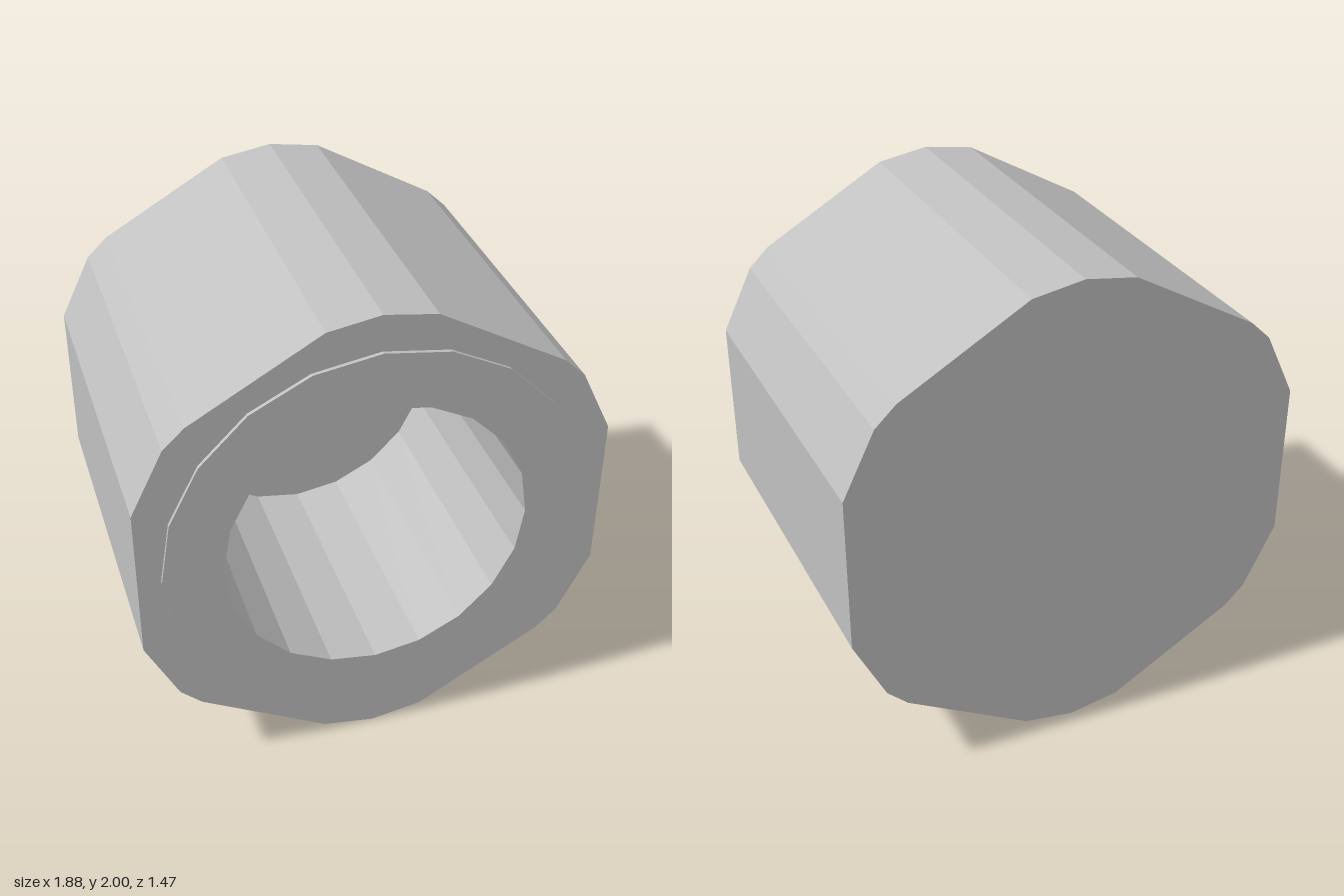
import * as THREE from 'three';

const BACK = -0.735, FLOOR = -0.38, SHOULDER = 0.72, FRONT = 0.735;

// Regular 20-sided outline, anticlockwise
const ring = (r) => Array.from({ length: 20 }, (_, i) => {
  const a = (i / 20) * Math.PI * 2;
  return new THREE.Vector2(Math.cos(a) * r, Math.sin(a) * r);
});

// Hexagon with double-chamfered corners, mirrored from one quadrant
function hexOutline() {
  const q = [[0.94, 0.326], [0.81, 0.592], [0.725, 0.673], [0.21, 0.966]];
  const right = [...q.map(([x, y]) => [x, -y]).reverse(), ...q];
  const left = right.map(([x, y]) => [-x, -y]);
  return [[0, -1], ...right, [0, 1], ...left].map(([x, y]) => new THREE.Vector2(x, y));
}

// Flat-faceted wall along z; inward walls face the axis
function wall(points, z0, z1, inward = false) {
  const pos = [];
  points.forEach((p, i) => {
    const n = points[(i + 1) % points.length];
    const [a, b] = inward ? [n, p] : [p, n];
    pos.push(a.x, a.y, z0, b.x, b.y, z0, b.x, b.y, z1);
    pos.push(a.x, a.y, z0, b.x, b.y, z1, a.x, a.y, z1);
  });
  const g = new THREE.BufferGeometry();
  g.setAttribute('position', new THREE.Float32BufferAttribute(pos, 3));
  g.computeVertexNormals();
  return g;
}

// Flat face at a given z, optionally with a hole
function face(points, z, hole) {
  const shape = new THREE.Shape(points);
  if (hole) shape.holes.push(new THREE.Path(hole));
  return new THREE.ShapeGeometry(shape).translate(0, 0, z);
}

export function createModel() {
  const group = new THREE.Group();
  group.name = 'socket';
  const steel = new THREE.MeshStandardMaterial({ color: 0xc0c0c0 });
  steel.name = 'steel grey';

  const hex = hexOutline(), lip = ring(0.85), bore = ring(0.612);
  const add = (name, geometry) => {
    const mesh = new THREE.Mesh(geometry, steel);
    mesh.name = name;
    mesh.position.y = 1;
    group.add(mesh);
    return mesh;
  };

  // Outer body
  add('bodySides', wall(hex, BACK, SHOULDER));
  add('bodyShoulder', face(hex, SHOULDER, lip));
  add('bodyBack', face(hex, -BACK).rotateY(Math.PI));

  // Raised front lip
  add('lipEdge', wall(lip, SHOULDER, FRONT));
  add('lipFace', face(lip, FRONT, bore));

  // Blind bore
  add('boreWall', wall(bore, FLOOR, FRONT, true));
  add('boreFloor', face(bore, FLOOR));

  return group;
}
